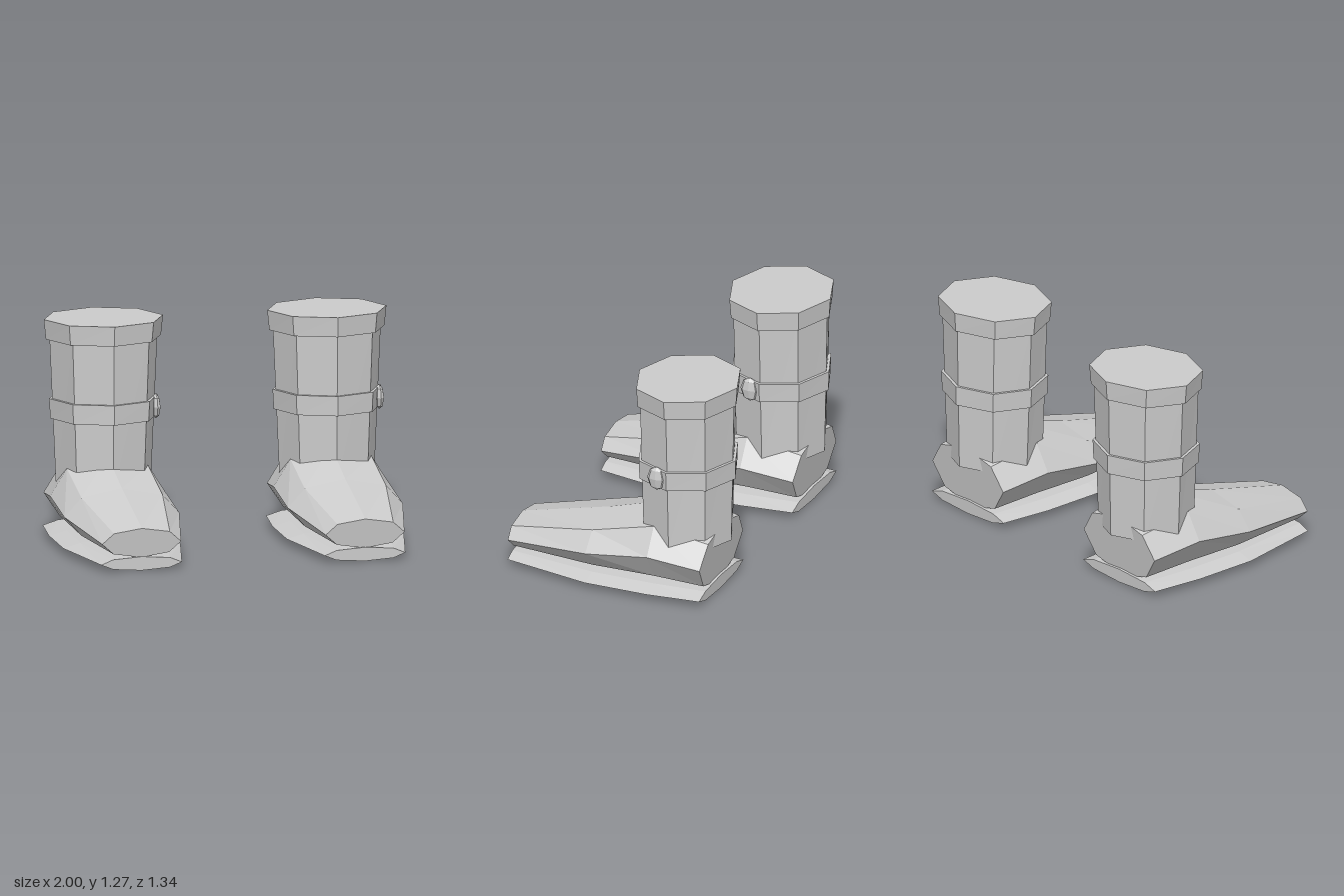
import * as THREE from 'three';

const material = new THREE.MeshStandardMaterial({ color: 0xcccccc, flatShading: true });
const SHAFT_Z = -0.365;

function part(name, geometry) {
  geometry.computeVertexNormals();
  const mesh = new THREE.Mesh(geometry, material);
  mesh.name = name;
  return mesh;
}

// Upright eight-sided tube, each end given as [y, radius x, radius z]
function octagonTube(name, top, bottom) {
  const geo = new THREE.CylinderGeometry(1, 1, 1, 8);
  const p = geo.attributes.position;
  for (let i = 0; i < p.count; i++) {
    const [y, rx, rz] = p.getY(i) > 0 ? top : bottom;
    p.setXYZ(i, p.getX(i) * rx, y, SHAFT_Z + p.getZ(i) * rz);
  }
  return part(name, geo);
}

// Eight-sided loft from toe to heel, sections as [z, centre y, radius x, radius y, lean]
function octagonLoft(name, sections) {
  const n = sections.length - 1;
  const geo = new THREE.CylinderGeometry(1, 1, 1, 8, n);
  geo.rotateX(Math.PI / 2);
  const p = geo.attributes.position;
  for (let i = 0; i < p.count; i++) {
    const [z, cy, rx, ry, lean] = sections[Math.round((0.5 - p.getZ(i)) * n)];
    const dy = p.getY(i) * ry;
    p.setXYZ(i, p.getX(i) * rx, cy + dy, z + lean * dy);
  }
  return part(name, geo);
}

function createBoot(name) {
  const boot = new THREE.Group();
  boot.name = name;

  // Leg: shaft, top cuff and ankle strap
  boot.add(
    octagonTube('shaft', [1.2, 0.316, 0.286], [0.31, 0.277, 0.269]),
    octagonTube('cuff', [1.275, 0.348, 0.305], [1.16, 0.336, 0.297]),
    octagonTube('strap', [0.815, 0.317, 0.296], [0.70, 0.31, 0.293]),
  );

  // Foot and the flattened sole beneath it
  boot.add(
    octagonLoft('foot', [
      [0.66, 0.16, 0.23, 0.086, 0.12],
      [0.13, 0.22, 0.335, 0.155, 0],
      [-0.255, 0.27, 0.335, 0.22, 0],
      [-0.57, 0.23, 0.305, 0.19, -0.11],
    ]),
    octagonLoft('sole', [
      [0.66, 0.04, 0.235, 0.04, 0],
      [0.13, 0.04, 0.342, 0.04, 0],
      [-0.255, 0.04, 0.342, 0.04, 0],
      [-0.57, 0.04, 0.31, 0.04, 0],
    ]),
  );

  // Button on the strap
  const button = part('button', new THREE.SphereGeometry(1, 8, 4));
  button.scale.set(0.028, 0.072, 0.06);
  button.position.set(0.29, 0.76, -0.298);
  boot.add(button);
  return boot;
}

export function createModel() {
  const model = new THREE.Group();
  model.name = 'boots';
  for (const [name, x] of [['leftBoot', 0.652], ['rightBoot', -0.652]]) {
    const boot = createBoot(name);
    boot.position.x = x;
    model.add(boot);
  }
  return model;
}
